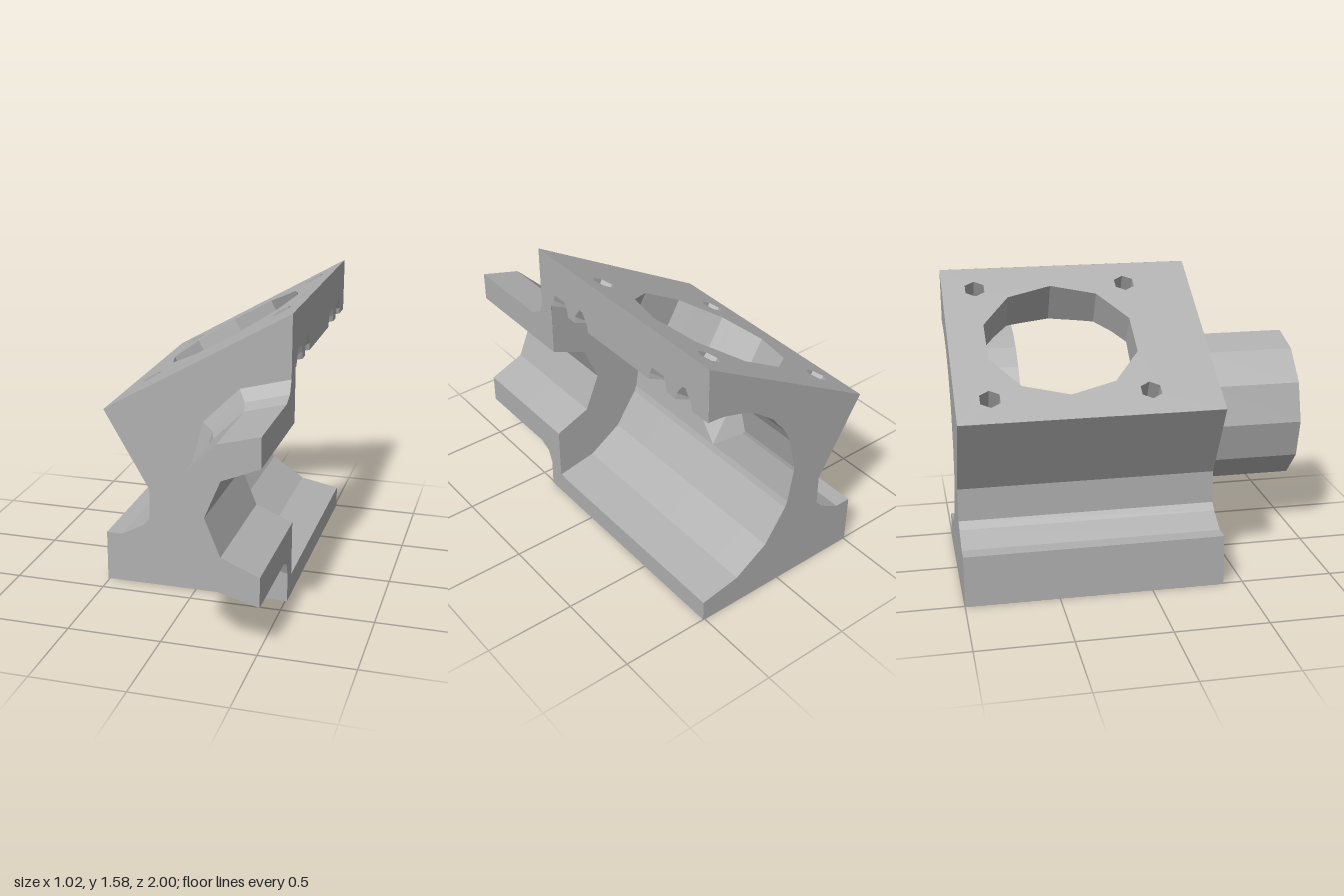
import * as THREE from 'three';

const CUT = 0.51, CY = 0.7, BACK = -1, FRONT = 0.39, WALL = 0.3;   // section plane, bore height, z limits
const BORE_R = 0.58, PIPE_R = 0.28, PORT_R = 0.42, PORT_Z = -0.4;
const TILT = Math.PI / 6, C = Math.cos(TILT), S = Math.sin(TILT), TOP_Y = 1.285;
const V = (x, y, z) => new THREE.Vector3(x, y, z);
const rad = THREE.MathUtils.degToRad;

// Half circle of the section, from top to bottom around the left
const arc = (r, n) => Array.from({ length: n + 1 }, (_, i) => {
  const t = Math.PI / 2 + Math.PI * i / n;
  return [CUT + r * Math.cos(t), CY + r * Math.sin(t)];
});
const polygon = (cx, cy, r, n) => Array.from({ length: n }, (_, i) =>
  [cx + r * Math.cos(2 * Math.PI * i / n), cy + r * Math.sin(2 * Math.PI * i / n)]);
const v2 = (list) => list.map(([a, b]) => new THREE.Vector2(a, b));

// Point on the tilted deck frame: s across, v along the normal
const deck = (s, v, z) => V(s * C - v * S, TOP_Y + s * S + v * C, z);

function facets(tris) {
  const g = new THREE.BufferGeometry().setFromPoints(tris);
  g.computeVertexNormals();
  return g;
}
function quad(out, a, b, c, d) { out.push(a, b, c, a, c, d); }

// Flat plate from an outline, placed by a mapping of its two coordinates
function plate(outline, holes, place) {
  const shape = new THREE.Shape(v2(outline));
  holes.forEach(h => shape.holes.push(new THREE.Path(v2(h))));
  const g = new THREE.ShapeGeometry(shape).toNonIndexed();
  const p = g.attributes.position;
  for (let i = 0; i < p.count; i++) {
    const q = place(p.getX(i), p.getY(i));
    p.setXYZ(i, q.x, q.y, q.z);
  }
  g.computeVertexNormals();
  return g;
}

// Band joining rows of points
function loft(rows, closed = false) {
  const t = [];
  for (let j = 0; j < rows.length - 1; j++) {
    const n = rows[j].length;
    for (let i = 0; i < (closed ? n : n - 1); i++) {
      const k = (i + 1) % n;
      quad(t, rows[j][i], rows[j][k], rows[j + 1][k], rows[j + 1][i]);
    }
  }
  return facets(t);
}

export function createModel() {
  const model = new THREE.Group();
  const castMetal = new THREE.MeshStandardMaterial({ color: 0xb0b0b0, side: THREE.DoubleSide });
  const add = (name, geometry) => {
    const m = new THREE.Mesh(geometry, castMetal);
    m.name = name;
    model.add(m);
  };

  // Outer profile, from the top of the cut plane round the left to the base
  const outer = [[CUT, 1.58], [-0.51, 0.99], [-0.26, 0.56], [-0.26, 0.38], [-0.3, 0.345],
    [-0.42, 0.28], [-0.51, 0.28], [-0.51, 0], [CUT, 0]];

  // Bore samples: angles from the deck normal, with breaks at the port corners
  const axis = 0.149, depth = 0.76;
  const corners = [0, 1, 2, 3, 4, 5].map(k => PORT_R * Math.cos(k * Math.PI / 5));
  const angles = [22.5].map(rad);
  for (let k = 0; k <= 8; k++) angles.push(rad(30 - 22.5 * k));
  corners.forEach(s => angles.push(Math.asin((s - axis) / BORE_R)));
  angles.sort((a, b) => b - a);
  const bore = angles.map(a => ({ a, s: axis + BORE_R * Math.sin(a), v: -depth + BORE_R * Math.cos(a) }));
  const boreXY = bore.map(b => { const p = deck(b.s, b.v, 0); return [p.x, p.y]; });

  // Half width of the ten-sided port at s
  const portHalf = (s) => {
    for (let k = 0; k < 5; k++) {
      const a = corners[k], b = corners[k + 1];
      if (s <= a + 1e-6 && s >= b - 1e-6) {
        return PORT_R * THREE.MathUtils.lerp(Math.sin(k * Math.PI / 5), Math.sin((k + 1) * Math.PI / 5), (a - s) / (a - b));
      }
    }
    return 0;
  };

  // Notches where screw holes break through the cut: z, half width, top height, top half width
  const notches = [[-0.82, 0.06, 1.38, 0.012], [-0.62, 0.07, 1.36, 0.045],
    [0.02, 0.06, 1.38, 0.012], [0.21, 0.07, 1.36, 0.045]];
  const tipA = rad(22.5), tipS = axis + BORE_R * Math.sin(tipA), edgeS = axis + BORE_R * 0.5;
  const gapsAt = (b) => {
    const t = Math.max(0, (b.s - tipS) / (edgeS - tipS));
    const g = notches.map(([z, w]) => [z, w * t]);
    g.push([PORT_Z, b.a > rad(-80) ? portHalf(b.s) : 0]);
    return g.sort((p, q) => p[0] - q[0]);
  };

  // Bore lining with the openings left out, and the port wall
  const lining = [], port = [];
  for (let i = 0; i < bore.length - 1; i++) {
    const p = bore[i], q = bore[i + 1];
    const ends = (b) => [BACK, ...gapsAt(b).flatMap(([z, w]) => [z - w, z + w]), WALL];
    const zp = ends(p), zq = ends(q);
    for (let k = 0; k < zp.length; k += 2) {
      quad(lining, deck(p.s, p.v, zp[k]), deck(p.s, p.v, zp[k + 1]), deck(q.s, q.v, zq[k + 1]), deck(q.s, q.v, zq[k]));
    }
    if (p.s <= PORT_R + 1e-6 && q.s >= -PORT_R - 1e-6 && p.a > rad(-80) && q.a > rad(-80)) {
      for (const side of [-1, 1]) {
        const a = PORT_Z + side * portHalf(p.s), b = PORT_Z + side * portHalf(q.s);
        const w = [deck(p.s, 0, a), deck(q.s, 0, b), deck(q.s, q.v, b), deck(p.s, p.v, a)];
        quad(port, ...(side > 0 ? w : w.reverse()));
      }
    }
  }
  add('boreLining', facets(lining));
  add('portWall', facets(port));

  // Tilted deck with port and four screw holes
  const sL = -0.51 / C, sR = CUT / C;
  const screws = [[-0.42, -0.82], [0.42, -0.82], [-0.42, 0.02], [0.42, 0.02]];
  const hexes = screws.map(([s, z]) => polygon(s, z, 0.06, 6));
  add('deck', plate([[sL, BACK], [sR, BACK], [sR, FRONT], [sL, FRONT]],
    [polygon(0, PORT_Z, PORT_R, 10), ...hexes], (s, z) => deck(s, 0, z)));
  screws.forEach(([s, z], i) => {
    const row = (v, k) => hexes[i].map(([a, b]) => deck(s + (a - s) * k, v, z + (b - z) * k));
    add('screwHole', loft([row(0, 1), row(-0.17, 1), row(-0.21, 0.02)], true));
  });

  // Side, undercut and foot faces
  add('leftSide', loft([BACK, FRONT].map(z => outer.slice(1, 8).map(([x, y]) => V(x, y, z)))));

  // Base with its small blind hole
  const drain = polygon(-0.11, -0.22, 0.045, 6);
  add('base', plate([[-0.51, BACK], [CUT, BACK], [CUT, FRONT], [-0.51, FRONT]], [drain], (x, z) => V(x, 0, z)));
  add('baseHole', loft([[0, 1], [0.12, 1], [0.15, 0.02]].map(([y, k]) =>
    drain.map(([x, z]) => V(-0.11 + (x + 0.11) * k, y, -0.22 + (z + 0.22) * k))), true));

  // End faces and the step inside the bore
  const rim = outer.slice().reverse();
  add('backFace', plate([...rim, ...boreXY], [], (x, y) => V(x, y, BACK)));
  add('frontFace', plate([...rim, ...arc(0.54, 6)], [], (x, y) => V(x, y, FRONT)));
  add('boreStep', plate([...boreXY, ...arc(PIPE_R, 4).reverse()], [], (x, y) => V(x, y, WALL)));

  // Half pipe with flared root
  const flare = [[FRONT, 0.54], [0.42, 0.47], [0.49, 0.44], [1, 0.44]];
  add('pipeOuter', loft(flare.map(([z, r]) => arc(r, 6).map(([x, y]) => V(x, y, z)))));
  add('pipeInner', loft([1, 0.82, 0.65, 0.48, WALL].map(z => arc(PIPE_R, 4).map(([x, y]) => V(x, y, z)))));
  add('pipeEnd', plate([...arc(0.44, 6), ...arc(PIPE_R, 4).reverse()], [], (x, y) => V(x, y, 1)));

  // Section faces on the cut plane, upper one notched
  const notchLine = ([z, w, y, t]) => [[z - w, 1.28], [z - w * 0.9, 1.32], [z - t, y], [z + t, y], [z + w * 0.9, 1.32], [z + w, 1.28]];
  const sectionEdge = (sign) => [[WALL, CY + sign * BORE_R], [WALL, CY + sign * PIPE_R], [1, CY + sign * PIPE_R],
    ...flare.slice().reverse().map(([z, r]) => [z, CY + sign * r])];
  const onCut = (z, y) => V(CUT, y, z);
  add('upperSection', plate([[BACK, 1.28], ...notches.flatMap(notchLine), ...sectionEdge(1), [FRONT, 1.58], [BACK, 1.58]], [], onCut));
  add('lowerSection', plate([[BACK, 0.12], ...sectionEdge(-1), [FRONT, 0], [BACK, 0]], [], onCut));

  // Shallow pockets behind the notches
  const tip = bore.find(b => Math.abs(b.a - tipA) < 1e-6);
  notches.forEach(n => {
    const line = notchLine(n).map(([z, y]) => onCut(z, y));
    add('notchPocket', loft([line, line.map(() => deck(tip.s, tip.v, n[0]))]));
  });
  return model;
}
